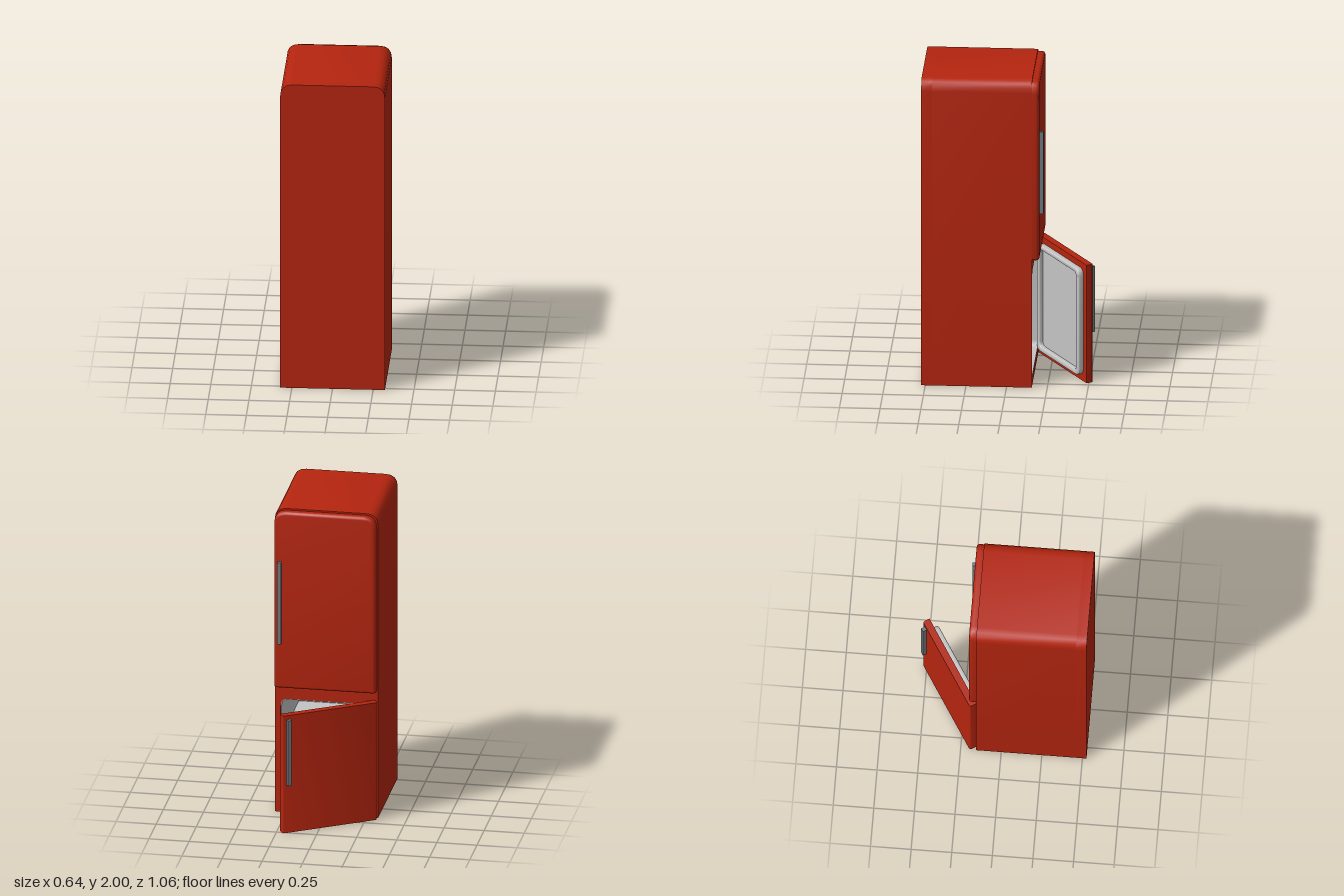
import * as THREE from 'three';
import { toCreasedNormals } from 'three/addons/utils/BufferGeometryUtils.js';

const red = new THREE.MeshStandardMaterial({ color: 0xb5250f });
red.name = 'red enamel';
const grey = new THREE.MeshStandardMaterial({ color: 0xc4c4c4 });
grey.name = 'grey liner';
const steel = new THREE.MeshStandardMaterial({ color: 0x717b82 });
steel.name = 'steel handle';

// Rectangle with separate corner radii at top and bottom
function roundRect(x0, y0, x1, y1, rTop, rBottom, Type = THREE.Shape) {
  const s = new Type();
  s.moveTo(x0 + rBottom, y0);
  s.lineTo(x1 - rBottom, y0);
  if (rBottom) s.quadraticCurveTo(x1, y0, x1, y0 + rBottom);
  s.lineTo(x1, y1 - rTop);
  if (rTop) s.quadraticCurveTo(x1, y1, x1 - rTop, y1);
  s.lineTo(x0 + rTop, y1);
  if (rTop) s.quadraticCurveTo(x0, y1, x0, y1 - rTop);
  s.lineTo(x0, y0 + rBottom);
  if (rBottom) s.quadraticCurveTo(x0, y0, x0 + rBottom, y0);
  return s;
}

// Extrusion from z, with an optional inward bevel on its edges
function extrude(shape, z, depth, bevel = 0, curveSegments = 4) {
  const g = new THREE.ExtrudeGeometry(shape, {
    depth: depth - 2 * bevel, curveSegments, bevelEnabled: bevel > 0,
    bevelSize: bevel, bevelThickness: bevel, bevelOffset: -bevel, bevelSegments: 3,
  });
  g.translate(0, 0, z + bevel);
  return toCreasedNormals(g, 0.65);
}

function add(parent, name, geometry, material, x = 0, y = 0, z = 0) {
  const m = new THREE.Mesh(geometry, material);
  m.name = name;
  m.position.set(x, y, z);
  parent.add(m);
  return m;
}

export function createModel() {
  const fridge = new THREE.Group();
  fridge.name = 'fridge';

  const W = 0.322, FACE = -0.155, BACK = 0.525, INNER = 0.46;

  // Cabinet: hollow shell plus solid back
  const shell = roundRect(-W, 0, W, 2, 0.075, 0);
  shell.holes.push(roundRect(-0.285, 0.045, 0.285, 0.745, 0.045, 0.045, THREE.Path));
  add(fridge, 'cabinetShell', extrude(shell, FACE, INNER - FACE), red);
  add(fridge, 'cabinetBack', extrude(roundRect(-W, 0, W, 2, 0.075, 0), INNER, BACK - INNER), red);

  // Lower compartment: liner, back wall and shelves
  const liner = roundRect(-0.285, 0.045, 0.285, 0.745, 0.045, 0.045);
  liner.holes.push(roundRect(-0.28, 0.05, 0.28, 0.74, 0.04, 0.04, THREE.Path));
  add(fridge, 'compartmentLiner', extrude(liner, FACE + 0.002, INNER - FACE - 0.002), grey);
  add(fridge, 'compartmentBack', new THREE.BoxGeometry(0.57, 0.7, 0.008), grey, 0, 0.395, INNER - 0.004);
  for (const y of [0.26, 0.49]) {
    add(fridge, 'shelf', new THREE.BoxGeometry(0.56, 0.015, 0.56), grey, 0, y, 0.17);
    add(fridge, 'shelfLip', new THREE.BoxGeometry(0.56, 0.025, 0.012), grey, 0, y, -0.11);
  }

  // Closed upper door with softened edges
  const upper = new THREE.Group();
  upper.name = 'upperDoor';
  fridge.add(upper);
  add(upper, 'upperDoorPanel',
    extrude(roundRect(-0.314, 0.83, 0.32, 1.99, 0.075, 0.015), -0.2, 0.08, 0.018), red);
  add(upper, 'upperHandle', new THREE.BoxGeometry(0.024, 0.535, 0.03), steel, 0.283, 1.397, -0.211);

  // Open lower door, hinged at the model's right
  const lower = new THREE.Group();
  lower.name = 'lowerDoor';
  lower.position.set(-0.3, 0, FACE);
  lower.rotation.y = 0.558;
  fridge.add(lower);

  const L = 0.625, T = 0.045;
  const panel = extrude(roundRect(0, 0, L, T, 0.014, 0), 0.003, 0.772);
  panel.rotateX(-Math.PI / 2);
  add(lower, 'lowerDoorPanel', panel, red);

  // Raised rim and recessed panel on the inside of the door
  const rim = roundRect(0.04, 0.04, 0.585, 0.737, 0.045, 0.045);
  rim.holes.push(roundRect(0.075, 0.072, 0.55, 0.708, 0.03, 0.03, THREE.Path));
  add(lower, 'doorRim', extrude(rim, -0.005, 0.04, 0.008), grey);
  add(lower, 'doorRecess', new THREE.BoxGeometry(0.49, 0.65, 0.008), grey, 0.3125, 0.39, 0.003);
  add(lower, 'lowerHandle', new THREE.BoxGeometry(0.024, 0.43, 0.03), steel, 0.588, 0.535, -T - 0.011);

  return fridge;
}
